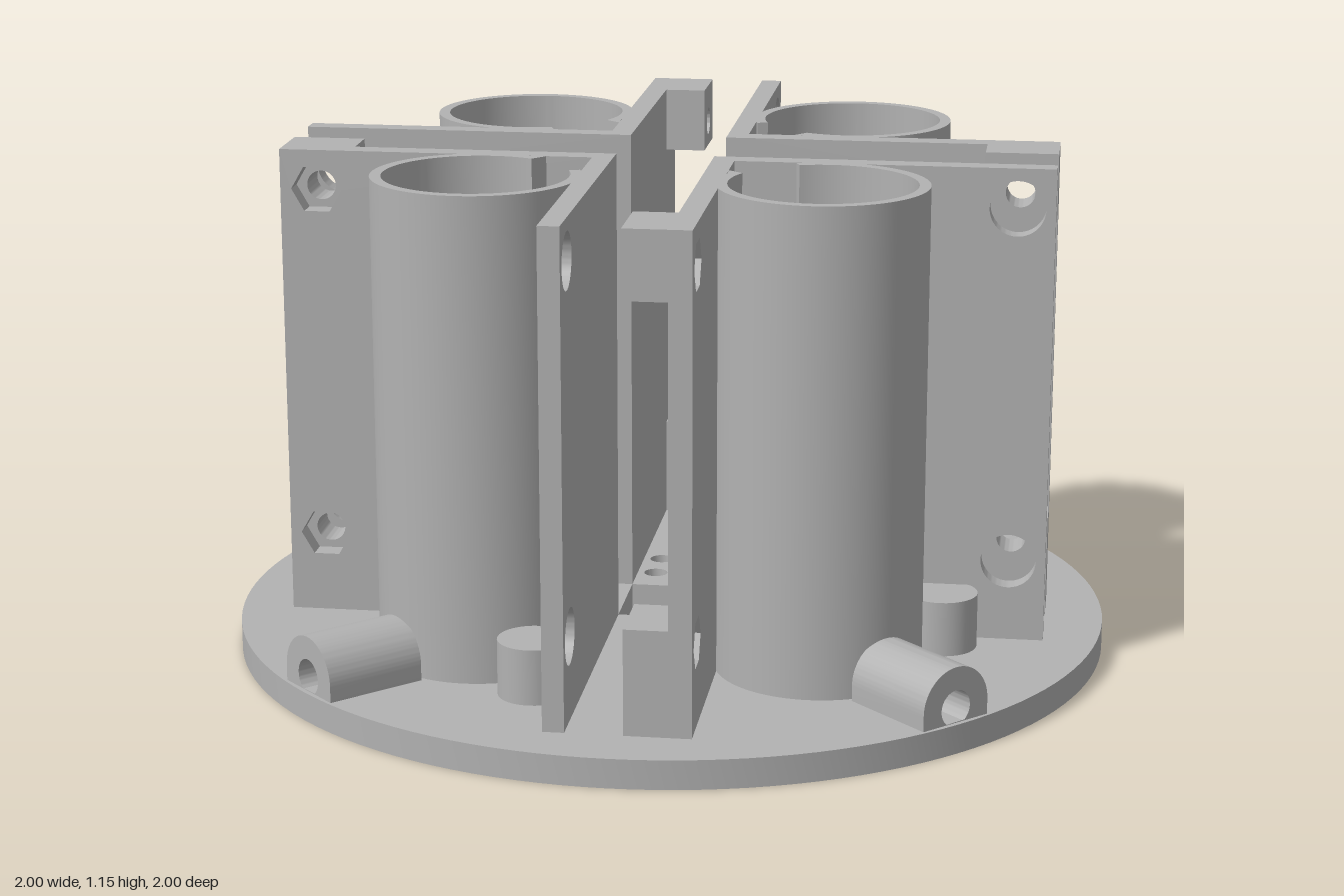
import * as THREE from 'three';
import { toCreasedNormals } from 'three/addons/utils/BufferGeometryUtils.js';

const BASE = 0.065, TOP = 1.15;       // plate top and wall top
const TUBE = 0.377, R_IN = 0.205, R_OUT = 0.23;
const W0 = 0.11, W1 = 0.16;           // wall faces measured from the centre
const END = 0.868, BOLT = 0.785;      // wall end and bolt position along a wall
const BOLT_Y = [0.25, 1.06];
const deg = Math.PI / 180;

const circle = (x, y, r) => new THREE.Path().absarc(x, y, r, 0, Math.PI * 2, false);

function hexagon(x, y, r) {
  const pts = [];
  for (let i = 0; i < 6; i++) {
    pts.push(new THREE.Vector2(x + r * Math.cos(i * 60 * deg), y + r * Math.sin(i * 60 * deg)));
  }
  return new THREE.Path(pts);
}

function rect(x0, y0, x1, y1) {
  return new THREE.Shape([[x0, y0], [x1, y0], [x1, y1], [x0, y1]].map(p => new THREE.Vector2(...p)));
}

function extrude(shape, depth, curveSegments = 32) {
  return toCreasedNormals(
    new THREE.ExtrudeGeometry(shape, { depth, bevelEnabled: false, curveSegments }), 0.5);
}

// Extrudes a plan drawn in x and z between two heights
function prism(shape, y0, y1, segments) {
  return extrude(shape, y1 - y0, segments).rotateX(Math.PI / 2).translate(0, y1, 0);
}

// Extrudes a side drawing in z and y between two x positions
function sidePanel(shape, x0, x1) {
  return extrude(shape, x1 - x0).rotateY(-Math.PI / 2).translate(x1, 0, 0);
}

// Opening through the base below a tube, with its square corner notch
function tubeOpening() {
  const p = new THREE.Path();
  p.absarc(0, 0, R_IN, -110 * deg, 206 * deg, false);
  p.lineTo(-0.217, -0.117);
  p.lineTo(-0.217, -0.217);
  p.lineTo(-0.079, -0.217);
  return p.getPoints(48).map(v => v.addScalar(TUBE));
}

function baseGeometry() {
  const s = new THREE.Shape().absarc(0, 0, 1, 0, Math.PI * 2, false);
  s.holes.push(new THREE.Path(rect(-W0, -W0, W0, W0).getPoints()));
  const cuts = [
    tubeOpening(),
    circle(0.067, 0.204, 0.028).getPoints(12),
    circle(0.067, 0.31, 0.028).getPoints(12),
    circle(0.641, 0.213, 0.035).getPoints(12),
  ];
  const origin = new THREE.Vector2();
  for (let k = 0; k < 4; k++) {
    for (const pts of cuts) {
      s.holes.push(new THREE.Path(pts.map(p => p.clone().rotateAround(origin, k * Math.PI / 2))));
    }
  }
  return prism(s, 0, BASE, 64);
}

// Round tube left open at the corner between the walls
function tubeGeometry() {
  const s = new THREE.Shape();
  s.absarc(0, 0, R_OUT, -110 * deg, 200 * deg, false);
  s.lineTo(-0.217, -0.117);
  s.absarc(0, 0, R_IN, 206 * deg, -110 * deg, true);
  return prism(s, BASE, TOP, 48).translate(TUBE, 0, TUBE);
}

// Thin wall with large round holes
function thinWallGeometry() {
  const s = rect(W0, BASE, END, TOP);
  BOLT_Y.forEach(y => s.holes.push(circle(BOLT, y, 0.062)));
  return extrude(s, 0.047).translate(0, 0, W0);
}

// Bracket wall with hexagonal nut pockets
function bracketWallGeometry() {
  const s = rect(0.157, BASE, END, TOP);
  BOLT_Y.forEach(y => s.holes.push(hexagon(BOLT, y, 0.058)));
  return sidePanel(s, W0, W1);
}

// Clamp block reaching into the slot, with a bolt hole
function clampGeometry(y0, y1, holeY) {
  const s = rect(0.705, y0, END, y1);
  s.holes.push(circle(BOLT, holeY, 0.033));
  return sidePanel(s, 0.015, W0);
}

// Arched lug with a radial bore
function lugGeometry() {
  const s = new THREE.Shape();
  s.moveTo(0.09, BASE);
  s.lineTo(0.09, 0.1);
  s.absarc(0, 0.1, 0.09, 0, Math.PI, false);
  s.lineTo(-0.09, BASE);
  s.holes.push(circle(0, 0.098, 0.04));
  return extrude(s, 0.232).translate(0, 0, 0.757).rotateY(45 * deg);
}

export function createModel() {
  const grey = new THREE.MeshStandardMaterial({ color: 0xb2b2b2 });
  grey.name = 'plain grey';

  const model = new THREE.Group();
  model.name = 'tubeHolder';
  const body = new THREE.Group();
  body.name = 'body';
  body.rotation.y = 15 * deg;
  model.add(body);

  const add = (parent, name, geometry) => {
    const m = new THREE.Mesh(geometry, grey);
    m.name = name;
    parent.add(m);
  };

  add(body, 'basePlate', baseGeometry());

  const post = new THREE.CylinderGeometry(0.08, 0.08, 0.19 - BASE, 32)
    .translate(0.641, (0.19 + BASE) / 2, 0.213);
  const parts = {
    tube: tubeGeometry(),
    thinWall: thinWallGeometry(),
    bracketWall: bracketWallGeometry(),
    lowerClamp: clampGeometry(BASE, 0.3, BOLT_Y[0]),
    upperClamp: clampGeometry(1.0, TOP, BOLT_Y[1]),
    lug: lugGeometry(),
    screwPost: post,
  };

  // Four identical quarters around the centre
  for (let k = 0; k < 4; k++) {
    const quarter = new THREE.Group();
    quarter.name = 'quarter' + (k + 1);
    quarter.rotation.y = k * Math.PI / 2;
    for (const [name, geometry] of Object.entries(parts)) add(quarter, name, geometry);
    body.add(quarter);
  }
  return model;
}
